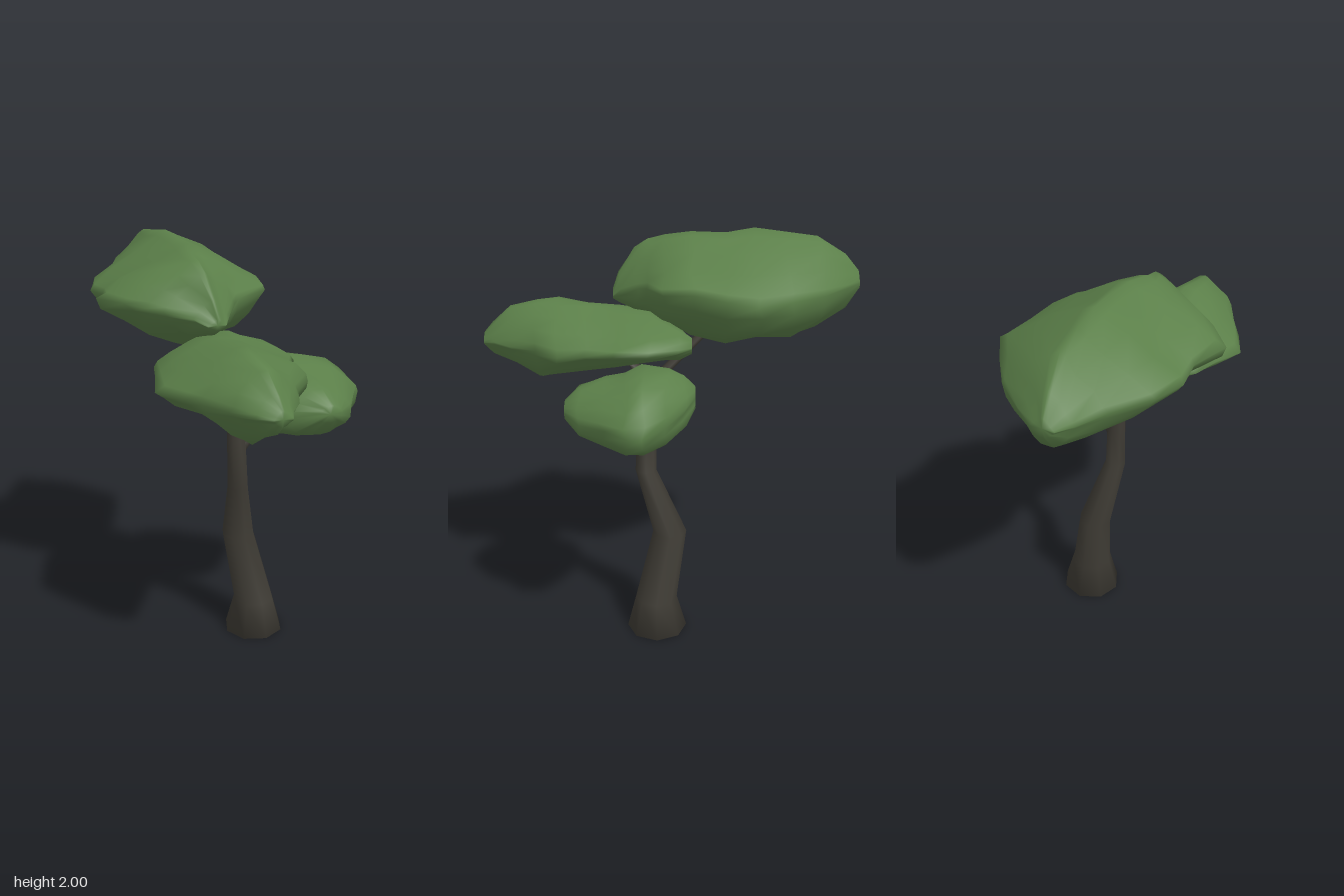
import * as THREE from 'three';

const bark = new THREE.MeshStandardMaterial({ color: 0x3e3b34 });
bark.name = 'dark bark';
const leaf = new THREE.MeshStandardMaterial({ color: 0x5b7f49 });
leaf.name = 'leaf green';

// Small seeded random for the lumps in the foliage
function makeRandom(seed) {
  let s = seed;
  return () => (s = (s * 16807) % 2147483647) / 2147483647;
}

// Skins a list of closed rings and closes both ends with fans
function skin(rings) {
  const n = rings[0].length;
  const points = rings.flat();
  const index = [];
  for (let i = 0; i < rings.length - 1; i++) {
    for (let j = 0; j < n; j++) {
      const a = i * n + j, b = i * n + (j + 1) % n;
      index.push(a, b, a + n, b, b + n, a + n);
    }
  }
  [0, rings.length - 1].forEach((r, end) => {
    const centre = new THREE.Vector3();
    rings[r].forEach((p) => centre.addScaledVector(p, 1 / n));
    const c = points.push(centre) - 1;
    for (let j = 0; j < n; j++) {
      const a = r * n + j, b = r * n + (j + 1) % n;
      if (end) index.push(a, b, c);
      else index.push(b, a, c);
    }
  });
  const g = new THREE.BufferGeometry().setFromPoints(points);
  g.setIndex(index);
  g.computeVertexNormals();
  return g;
}

// Level rings for wood, each given as [x, y, z, radius]
function wood(name, path, sides) {
  const rings = path.map(([x, y, z, r]) => Array.from({ length: sides }, (_, j) => {
    const a = (j / sides) * Math.PI * 2;
    return new THREE.Vector3(x + r * Math.cos(a), y, z - r * Math.sin(a));
  }));
  const mesh = new THREE.Mesh(skin(rings), bark);
  mesh.name = name;
  return mesh;
}

// Foliage lofted along z; stations are [z, left, right, top, bottom, ridgeX, midY].
// Each quarter of the section has its own power: 1 is round, 2 is a straight slope.
function foliage(name, stations, seed, powers) {
  const random = makeRandom(seed);
  const sides = 20;
  const pow = (v, p) => Math.sign(v) * Math.abs(v) ** p;
  const rings = stations.map(([z, left, right, top, bottom, ridge, mid], i) =>
    Array.from({ length: sides }, (_, j) => {
      const a = (j / sides) * Math.PI * 2;
      const power = powers[Math.floor((j * 4) / sides)];
      const c = pow(Math.cos(a), power), s = pow(Math.sin(a), power);
      const lump = j % 5 === 0 ? 1 : 0.94 + 0.12 * random();
      const inner = i > 0 && i < stations.length - 1;
      return new THREE.Vector3(
        ridge + c * lump * (c > 0 ? right - ridge : ridge - left),
        mid + s * lump * (s > 0 ? top - mid : mid - bottom),
        z + (inner ? (random() - 0.5) * 0.03 : 0)
      );
    }));
  const mesh = new THREE.Mesh(skin(rings), leaf);
  mesh.name = name;
  return mesh;
}

export function createModel() {
  const tree = new THREE.Group();
  tree.name = 'tree';

  // Bent trunk with a flared foot
  tree.add(wood('trunk', [
    [0.107, 0, 0.07, 0.15], [0.105, 0.17, 0.073, 0.104], [0.05, 0.52, 0.003, 0.083],
    [-0.01, 0.83, 0.12, 0.052], [-0.015, 1.05, 0.115, 0.047], [-0.03, 1.3, 0.108, 0.034],
  ], 8));

  // Branches into each clump
  tree.add(wood('leftBranch', [
    [0, 1.02, 0.115, 0.035], [0.06, 1.1, 0.125, 0.034], [0.24, 1.24, 0.17, 0.024],
  ], 6));
  tree.add(wood('frontBranch', [
    [-0.03, 1.24, 0.108, 0.032], [-0.06, 1.36, 0.17, 0.028], [-0.14, 1.46, 0.34, 0.02],
  ], 6));
  tree.add(wood('backBranch', [
    [-0.03, 1.24, 0.108, 0.034], [-0.03, 1.34, 0.03, 0.031], [-0.1, 1.62, -0.27, 0.024],
  ], 6));

  // Large gabled upper crown, leaning back
  tree.add(foliage('upperCrown', [
    [-0.9, -0.23, -0.12, 1.79, 1.70, -0.18, 1.74],
    [-0.83, -0.28, -0.03, 1.87, 1.61, -0.17, 1.74],
    [-0.7, -0.36, 0.12, 1.96, 1.54, -0.15, 1.74],
    [-0.55, -0.48, 0.22, 1.98, 1.49, -0.15, 1.74],
    [-0.39, -0.54, 0.31, 2.0, 1.51, -0.15, 1.74],
    [-0.25, -0.53, 0.25, 1.98, 1.47, -0.14, 1.75],
    [-0.1, -0.61, 0.21, 1.98, 1.5, -0.17, 1.77],
    [0.03, -0.52, 0.17, 1.96, 1.57, -0.2, 1.76],
    [0.1, -0.45, 0.0, 1.94, 1.59, -0.2, 1.75],
    [0.16, -0.39, -0.04, 1.9, 1.61, -0.2, 1.74],
    [0.23, -0.28, -0.11, 1.79, 1.64, -0.19, 1.71],
    [0.27, -0.23, -0.14, 1.71, 1.66, -0.18, 1.68],
  ], 71, [1.75, 1.85, 1.5, 1.1]));

  // Middle crown, reaching forward
  tree.add(foliage('frontCrown', [
    [-0.1, -0.05, 0.08, 1.52, 1.44, 0.02, 1.48],
    [-0.03, -0.26, 0.14, 1.56, 1.41, 0.0, 1.48],
    [0.1, -0.42, 0.2, 1.61, 1.37, -0.1, 1.48],
    [0.25, -0.47, 0.2, 1.62, 1.33, -0.16, 1.48],
    [0.4, -0.53, 0.12, 1.64, 1.3, -0.18, 1.46],
    [0.53, -0.47, 0.13, 1.66, 1.28, -0.18, 1.46],
    [0.63, -0.42, 0.02, 1.65, 1.26, -0.2, 1.46],
    [0.76, -0.36, -0.05, 1.62, 1.33, -0.2, 1.46],
    [0.85, -0.3, -0.12, 1.54, 1.38, -0.2, 1.46],
    [0.9, -0.24, -0.15, 1.49, 1.42, -0.2, 1.45],
  ], 29, [1.5, 1.45, 1.6, 1.6]));

  // Small low crown on the left branch
  tree.add(foliage('leftCrown', [
    [-0.11, 0.16, 0.27, 1.35, 1.25, 0.21, 1.3],
    [-0.06, 0.1, 0.39, 1.41, 1.18, 0.23, 1.28],
    [0.02, 0.04, 0.5, 1.44, 1.12, 0.24, 1.26],
    [0.12, 0.01, 0.61, 1.46, 1.1, 0.25, 1.25],
    [0.2, 0.0, 0.61, 1.42, 1.09, 0.28, 1.25],
    [0.31, 0.03, 0.5, 1.4, 1.12, 0.27, 1.25],
    [0.41, 0.11, 0.43, 1.37, 1.15, 0.27, 1.25],
    [0.48, 0.22, 0.34, 1.31, 1.23, 0.28, 1.27],
  ], 113, [1.2, 1.05, 0.95, 0.95]));

  return tree;
}
